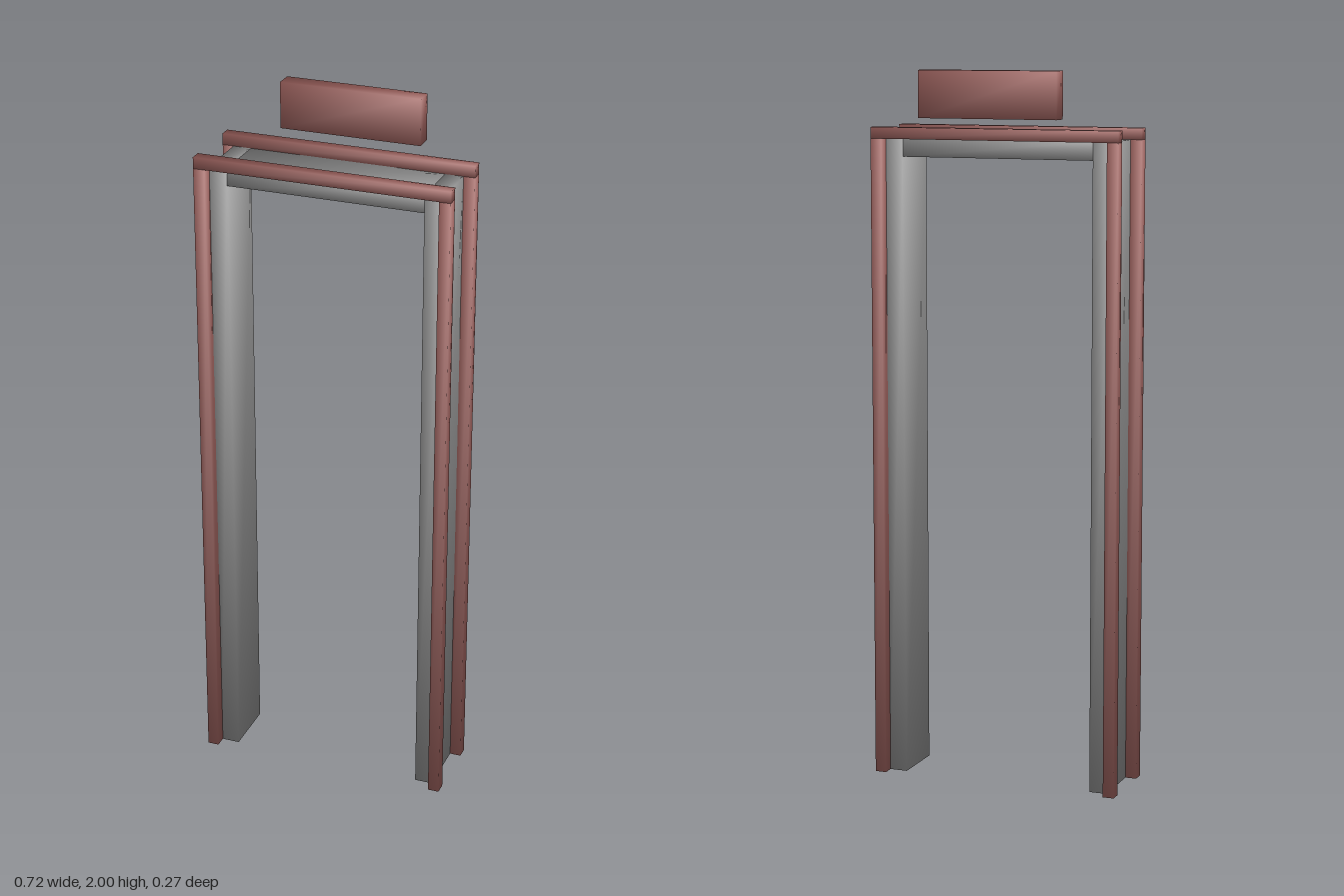
import * as THREE from 'three';

const grey = new THREE.MeshStandardMaterial({ color: 0x929292 });
const red = new THREE.MeshStandardMaterial({ color: 0x9e625e });

// Box given by its limits, with each corner normal pointing diagonally outwards (soft shading)
function softBox(name, material, [x0, x1], [y0, y1], [z0, z1]) {
  const geometry = new THREE.BoxGeometry(x1 - x0, y1 - y0, z1 - z0);
  const { position, normal } = geometry.attributes;
  for (let i = 0; i < position.count; i++) {
    const corner = [position.getX(i), position.getY(i), position.getZ(i)];
    normal.setXYZ(i, ...corner.map((c) => Math.sign(c) / Math.sqrt(3)));
  }
  const mesh = new THREE.Mesh(geometry, material);
  mesh.name = name;
  mesh.position.set((x0 + x1) / 2, (y0 + y1) / 2, (z0 + z1) / 2);
  return mesh;
}

export function createModel() {
  const model = new THREE.Group();
  model.name = 'walkThroughGate';

  const inner = 0.278, panelOuter = 0.329, outer = 0.361;
  const lintelBottom = 1.76, panelTop = 1.81, frameTop = 1.842;
  const panelZ = [-0.064, 0.102];

  // Side panels and lintel between the two frames
  model.add(softBox('leftPanel', grey, [inner, panelOuter], [0, panelTop], panelZ));
  model.add(softBox('rightPanel', grey, [-panelOuter, -inner], [0, panelTop], panelZ));
  model.add(softBox('lintelPanel', grey, [-inner, inner], [lintelBottom, panelTop], panelZ));

  // Front and back frames: two posts under a full-width top rail
  const frames = { front: [0.102, 0.136], back: [-0.097, -0.064] };
  for (const [side, depth] of Object.entries(frames)) {
    const frame = new THREE.Group();
    frame.name = side + 'Frame';
    frame.add(softBox('leftPost', red, [panelOuter, outer], [0, panelTop], depth));
    frame.add(softBox('rightPost', red, [-outer, -panelOuter], [0, panelTop], depth));
    frame.add(softBox('topRail', red, [-outer, outer], [panelTop, frameTop], depth));
    model.add(frame);
  }

  // Sign board floating above the back rail
  model.add(softBox('signBoard', red, [-0.2, 0.2], [1.87, 2], [-0.138, -0.087]));

  return model;
}
